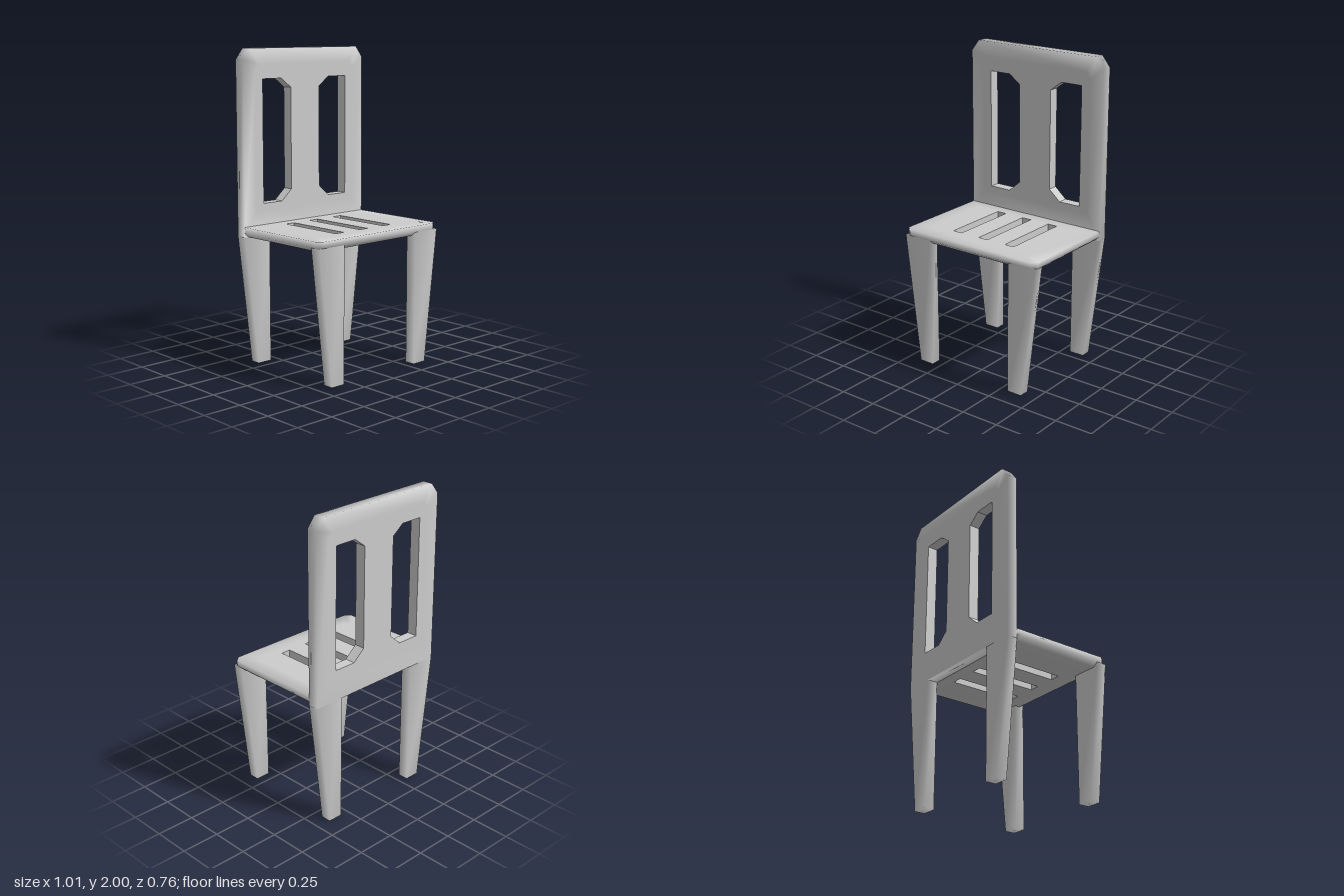
import * as THREE from 'three';
import { mergeGeometries, mergeVertices } from 'three/addons/utils/BufferGeometryUtils.js';

const grey = new THREE.MeshStandardMaterial({ color: 0xcccccc });
grey.name = 'plain grey';

// Band of quads joining closed loops; each loop is { pts: [[x, y], ...], z }
function strip(loops) {
  const n = loops[0].pts.length, pos = [], idx = [];
  for (const { pts, z } of loops) for (const [x, y] of pts) pos.push(x, y, z);
  for (let i = 0; i < loops.length - 1; i++) {
    for (let j = 0; j < n; j++) {
      const k = (j + 1) % n, a = i * n + j, b = i * n + k;
      idx.push(a, a + n, b + n, a, b + n, b);
    }
  }
  const g = new THREE.BufferGeometry();
  g.setAttribute('position', new THREE.Float32BufferAttribute(pos, 3));
  g.setIndex(idx);
  g.computeVertexNormals();
  return g;
}

const vectors = (pts) => pts.map(([x, y]) => new THREE.Vector2(x, y));

// Symmetric slab: flat pierced middle, softly shaded rim, crisp hole walls
function slab(rimLoops, holes, bendNormal) {
  const front = rimLoops[0], back = rimLoops[rimLoops.length - 1];
  const shape = new THREE.Shape(vectors(front.pts));
  shape.holes = holes.map((h) => new THREE.Path(vectors(h)));
  const face = new THREE.ShapeGeometry(shape).deleteAttribute('uv').toNonIndexed();
  const rim = strip(rimLoops);
  const p = rim.attributes.position, nor = rim.attributes.normal, v = new THREE.Vector3();
  for (let i = 0; i < p.count; i++) {
    v.fromBufferAttribute(nor, i);
    bendNormal(v, p.getY(i), p.getZ(i));
    v.normalize();
    nor.setXYZ(i, v.x, v.y, v.z);
  }
  const walls = holes.map((h) => {
    const g = strip([{ pts: h, z: front.z }, { pts: h, z: back.z }]).toNonIndexed();
    g.computeVertexNormals();
    return g;
  });
  return mergeGeometries([
    face.clone().translate(0, 0, front.z),
    face.clone().rotateY(Math.PI).translate(0, 0, back.z),
    rim.toNonIndexed(), ...walls,
  ]);
}

// Outline with cut corners, counter-clockwise from the lower left
function outline(w, y0, y1, cx, cyTop, cyBottom = 0) {
  const right = [[w, y0 + cyBottom], [w, y1 - cyTop], [w - cx, y1]];
  if (cyBottom) right.unshift([w - cx, y0]);
  return [...right, ...right.map(([x, y]) => [-x, y]).reverse()];
}

// Tapered leg: straight inner edge, sloping outer edge
function leg(side, z, top) {
  const g = new THREE.BoxGeometry(1, 1, 1).deleteAttribute('uv').deleteAttribute('normal');
  const merged = mergeVertices(g), p = merged.attributes.position;
  for (let i = 0; i < p.count; i++) {
    const upper = p.getY(i) > 0, outer = p.getX(i) * side > 0;
    p.setXYZ(i, side * (outer ? (upper ? 0.505 : 0.405) : 0.305), upper ? top : 0, z + p.getZ(i) * 0.07);
  }
  merged.computeVertexNormals();
  const nor = merged.attributes.normal, v = new THREE.Vector3();
  for (let i = 0; i < p.count; i++) {
    if (p.getY(i) < 0.1) continue;
    v.fromBufferAttribute(nor, i).setY(0).normalize();
    nor.setXYZ(i, v.x, v.y, v.z);
  }
  return merged;
}

export function createModel() {
  const group = new THREE.Group();
  const add = (name, geometry) => {
    const mesh = new THREE.Mesh(geometry, grey);
    mesh.name = name;
    group.add(mesh);
    return mesh;
  };

  // Backrest with two openings that have cut inner corners
  const opening = [[-0.35, 1.03], [-0.35, 1.81], [-0.2, 1.81], [-0.12, 1.75], [-0.12, 1.1], [-0.2, 1.03]];
  const mirrored = opening.map(([x, y]) => [-x, y]).reverse();
  const backOuter = outline(0.505, 0.83, 2, 0.055, 0.07);
  const backInner = outline(0.41, 0.99, 1.9, 0.03, 0.04);
  add('backrest', slab([
    { pts: backInner, z: -0.31 }, { pts: backOuter, z: -0.31 },
    { pts: backOuter, z: -0.38 }, { pts: backInner, z: -0.38 },
  ], [opening, mirrored], (n, y, z) => {
    if (y < 0.9) n.y = z > -0.35 ? Math.abs(n.y) : 0; // blend into the seat and legs
  }));

  // Seat with three slots and a bevelled lower edge (drawn flat, then laid down)
  const slots = [-0.2025, 0, 0.2025].map((x) =>
    [[x - 0.033, -0.23], [x - 0.033, 0.23], [x + 0.033, 0.23], [x + 0.033, -0.23]]);
  const seatOutline = (inset, back) => outline(0.505 - inset, -0.38 + inset, back, 0.035, 0, 0.03)
    .filter(([x, y], i, all) => !(y === back && Math.abs(x) < 0.505 - inset - 0.01))
    .map(([x, y]) => [x, y]);
  const seatOuter = seatOutline(0, 0.31), seatInner = seatOutline(0.1, 0.24);
  add('seat', slab([
    { pts: seatInner, z: 0.895 }, { pts: seatOuter, z: 0.895 }, { pts: seatOuter, z: 0.855 },
    { pts: seatOutline(0.03, 0.31), z: 0.83 }, { pts: seatInner, z: 0.83 },
  ], slots, (n, y) => {
    if (y > 0.3) n.y = -Math.abs(n.y); // blend into the backrest
  }).rotateX(-Math.PI / 2));

  // Four legs
  for (const side of [-1, 1]) {
    const label = side > 0 ? 'Left' : 'Right';
    add('front' + label + 'Leg', leg(side, 0.345, 0.855));
    add('back' + label + 'Leg', leg(side, -0.345, 0.83));
  }
  return group;
}
